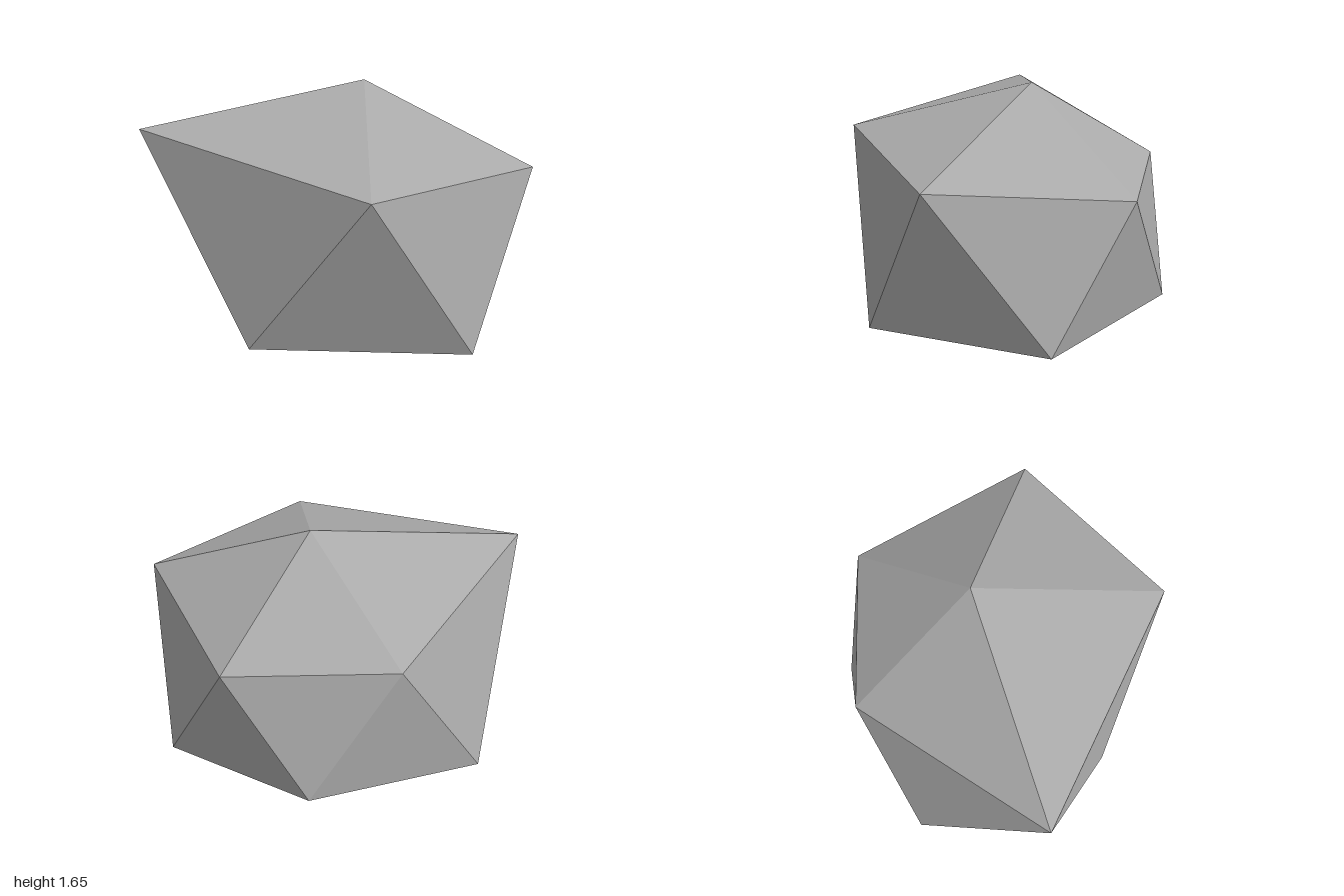
import * as THREE from 'three';

// Irregular twenty-sided boulder: two poles and two staggered five-point rings
const top = [0.025, 1.655, -0.11];
const bottom = [0.025, 0, -0.15];
const upperRing = [
  [-1, 1.467, 0.58], [0.41, 1.377, 0.85], [0.997, 1.288, -0.073],
  [0.255, 1.17, -0.855], [-0.6, 1.18, -0.573],
];
const lowerRing = [
  [-0.3, 0.37, 0.807], [0.85, 0.377, 0.437], [0.7, 0.425, -0.626],
  [-0.2, 0.47, -0.855], [-0.997, 0.343, -0.152],
];

export function createModel() {
  const stone = new THREE.MeshStandardMaterial({ color: 0xaaaaaa, flatShading: true });
  stone.name = 'stone grey';

  // Each step round the rings adds a cap face, two belt faces and a base face
  const corners = [];
  for (let i = 0; i < 5; i++) {
    const j = (i + 1) % 5;
    const u = upperRing[i], uNext = upperRing[j];
    const l = lowerRing[i], lNext = lowerRing[j];
    corners.push(top, u, uNext, u, l, uNext, l, lNext, uNext, bottom, lNext, l);
  }

  const geometry = new THREE.BufferGeometry();
  geometry.setAttribute('position', new THREE.Float32BufferAttribute(corners.flat(), 3));
  geometry.computeVertexNormals();

  const boulder = new THREE.Mesh(geometry, stone);
  boulder.name = 'boulder';

  const model = new THREE.Group();
  model.name = 'rock';
  model.add(boulder);
  return model;
}
